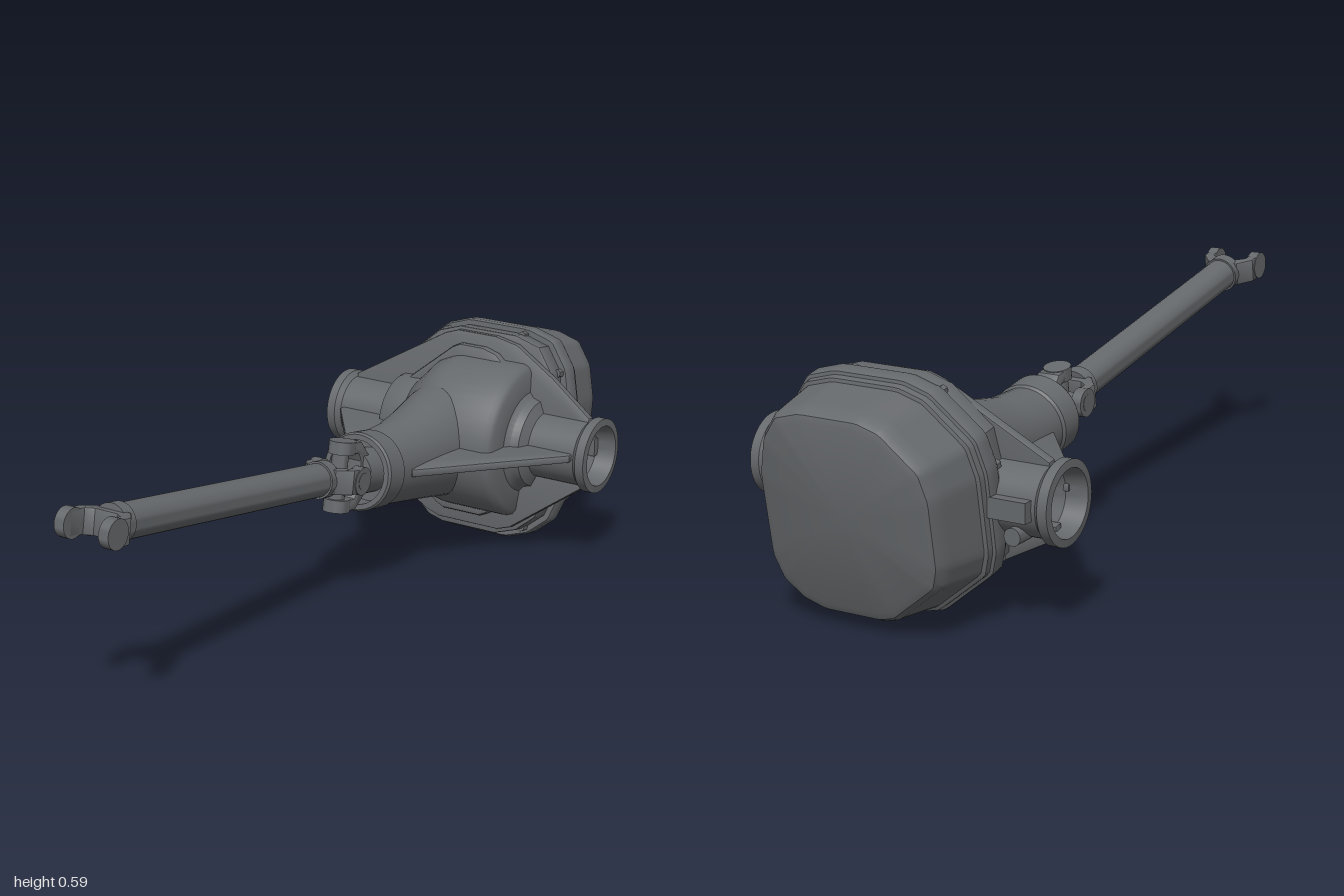
import * as THREE from 'three';
import { toCreasedNormals } from 'three/addons/utils/BufferGeometryUtils.js';

const metal = new THREE.MeshStandardMaterial({ color: 0x66696c });
metal.name = 'cast iron grey';

function add(parent, name, geometry, x = 0, y = 0, z = 0) {
  const mesh = new THREE.Mesh(toCreasedNormals(geometry, 0.6), metal);
  mesh.name = name;
  mesh.position.set(x, y, z);
  parent.add(mesh);
  return mesh;
}

// Cylinder along a chosen axis
function rod(r, length, axis, sides = 24) {
  const g = new THREE.CylinderGeometry(r, r, length, sides);
  if (axis === 'x') g.rotateZ(Math.PI / 2);
  if (axis === 'z') g.rotateX(Math.PI / 2);
  return g;
}

// Bevelled plate from an outline, filling z0..z1
function plate(points, z0, z1, bevel = 0.005) {
  const shape = new THREE.Shape(points.map(([x, y]) => new THREE.Vector2(x, y)));
  const g = new THREE.ExtrudeGeometry(shape, {
    depth: z1 - z0 - 2 * bevel, bevelEnabled: true, bevelSize: bevel,
    bevelThickness: bevel, bevelOffset: -bevel, bevelSegments: 2,
  });
  return g.translate(0, 0, z0 + bevel);
}

// Skin over rings of equal point count, capped at both ends
function loft(rings) {
  const n = rings[0].length, pos = [], index = [];
  for (const ring of rings) for (const p of ring) pos.push(...p);
  for (let k = 0; k < rings.length - 1; k++) {
    for (let i = 0; i < n; i++) {
      const a = k * n + i, b = k * n + (i + 1) % n;
      index.push(a, b, b + n, a, b + n, a + n);
    }
  }
  for (const k of [0, rings.length - 1]) {
    const centre = pos.length / 3;
    pos.push(...[0, 1, 2].map((c) => rings[k].reduce((s, p) => s + p[c], 0) / n));
    for (let i = 0; i < n; i++) {
      const a = k * n + i, b = k * n + (i + 1) % n;
      if (k === 0) index.push(centre, b, a);
      else index.push(centre, a, b);
    }
  }
  const g = new THREE.BufferGeometry();
  g.setAttribute('position', new THREE.Float32BufferAttribute(pos, 3));
  g.setIndex(index);
  g.computeVertexNormals();
  return g;
}

// Counter-clockwise outline of the rear cover
const coverOutline = [
  [-0.07, 0.303], [-0.14, 0.28], [-0.25, 0.18], [-0.272, 0.1], [-0.272, -0.1],
  [-0.255, -0.16], [-0.11, -0.28], [-0.06, -0.293], [0.12, -0.293], [0.19, -0.27],
  [0.25, -0.22], [0.277, -0.15], [0.277, 0.1], [0.25, 0.21], [0.2, 0.28], [0.12, 0.303],
];

// Scaled cover outline with softened corners
function coverRing(scale, z, dy = 0) {
  const n = coverOutline.length, ring = [];
  coverOutline.forEach((p, i) => {
    const a = coverOutline[(i + n - 1) % n], b = coverOutline[(i + 1) % n];
    for (const [q, t] of [[a, 0.22], [a, 0.07], [b, 0.07], [b, 0.22]]) {
      ring.push([(p[0] + (q[0] - p[0]) * t) * scale, (p[1] + (q[1] - p[1]) * t) * scale + dy, z]);
    }
  });
  return ring;
}

function ellipse(z, rx, ry, cx, cy, n = 40) {
  return Array.from({ length: n }, (_, i) => {
    const a = (i / n) * Math.PI * 2;
    return [cx + rx * Math.cos(a), cy + ry * Math.sin(a), z];
  });
}

// Forked yoke: ears centred on the origin, base behind at -z
function yoke(name) {
  const g = new THREE.Group();
  g.name = name;
  const half = [[0.045, -0.085], [0.076, -0.045], [0.076, 0.01], [0.05, 0.01], [0.05, -0.035], [0.032, -0.05]];
  const outline = [...half, ...half.map(([x, z]) => [-x, z]).reverse()];
  const fork = plate(outline, -0.033, 0.033).rotateX(Math.PI / 2);
  add(g, name + 'Fork', fork);
  for (const s of [-1, 1]) add(g, name + 'Ear', rod(0.037, 0.028, 'x'), s * 0.064, 0, 0);
  return g;
}

export function createModel() {
  const model = new THREE.Group();
  model.name = 'axleDifferential';

  // Hollow axle tubes and the round ring gear housing, turned about x
  const turned = [
    [0.083, -0.415], [0.103, -0.413], [0.103, -0.388], [0.09, -0.375], [0.09, -0.24], [0.12, -0.226],
    [0.126, -0.215], [0.13, -0.15], [0.15, -0.13], [0.19, -0.09], [0.208, -0.05], [0.214, -0.02],
    [0.214, 0.16], [0.208, 0.175], [0.195, 0.184], [0.14, 0.188], [0.126, 0.2], [0.12, 0.222], [0.09, 0.236],
    [0.09, 0.375], [0.103, 0.388], [0.103, 0.413], [0.083, 0.415], [0.075, 0.36], [0.052, 0.34],
    [0.052, -0.34], [0.075, -0.36], [0.083, -0.415],
  ].map(([r, x]) => new THREE.Vector2(r, x));
  add(model, 'axleHousing', new THREE.LatheGeometry(turned, 48).rotateZ(-Math.PI / 2), 0, 0.312, -0.67);

  // Horizontal ribs from the pinion nose to the tubes, and rear bosses
  for (const s of [-1, 1]) {
    const nose = s < 0 ? -0.12 : 0.08;
    const rib = plate([[0, 0.24], [nose, 0.24], [s * 0.37, 0.57], [s * 0.37, 0.6], [0, 0.6]], 0, 0.022);
    add(model, 'sideRib', rib.rotateX(-Math.PI / 2), 0, 0.312, 0);
    add(model, 'rearBoss', new THREE.BoxGeometry(0.1, 0.05, 0.06), s * 0.315, 0.31, -0.755);
    add(model, 'bossBolt', rod(0.022, 0.06, 'z', 16), s * 0.315, 0.24, -0.73);
  }

  // Everything along the tilted shaft line
  const tilted = new THREE.Group();
  tilted.name = 'tiltedAssembly';
  tilted.position.set(0, 0.31, -0.67);
  tilted.rotation.x = -0.175;
  model.add(tilted);

  // Rear cover and its stepped flange
  add(tilted, 'rearCover', loft([
    coverRing(0.77, -0.291, 0.022), coverRing(0.83, -0.284, 0.02), coverRing(0.865, -0.266, 0.018),
    coverRing(0.88, -0.235, 0.015), coverRing(0.94, -0.12),
  ]));
  add(tilted, 'coverFlange', loft([
    coverRing(0.93, -0.13), coverRing(0.965, -0.125), coverRing(0.97, -0.108), coverRing(0.995, -0.105),
    coverRing(1, -0.1), coverRing(1, -0.065), coverRing(0.985, -0.056),
  ]));
  coverOutline.forEach(([x, y], i) => {
    if (i % 2) add(tilted, 'flangeBolt', rod(0.012, 0.03, 'z', 6), x * 0.93, y * 0.93, -0.05);
  });

  // Front web and carcass, split in two so the axle bore stays clear
  const webs = [
    [[-0.375, 0.062], [-0.375, 0.1], [-0.1, 0.262], [-0.06, 0.276], [0.06, 0.276], [0.13, 0.262],
      [0.25, 0.19], [0.375, 0.1], [0.375, 0.062]],
    [[-0.375, -0.062], [-0.375, -0.095], [-0.1, -0.245], [-0.06, -0.258], [0.13, -0.258],
      [0.17, -0.245], [0.375, -0.095], [0.375, -0.062]],
  ];
  for (const [i, web] of webs.entries()) {
    const s = i ? -1 : 1;
    add(tilted, 'frontWeb', plate(web, -0.006, 0.02));
    const arc = coverOutline.filter((p) => p[1] * s > 0.11).map(([x, y]) => [x * 0.94, y * 0.94]);
    // start the upper run at its left end so the outline closes along the bore
    arc.sort((a, b) => a[0] - b[0]);
    add(tilted, 'carcass', plate([[-0.25, s * 0.062], ...arc, [0.25, s * 0.062]], -0.06, 0));
    const pad = web.slice(1, -1).map(([x, y]) => [x * 0.62, y * 0.88]);
    add(tilted, 'carcassStep', plate([[-0.2, s * 0.062], ...pad, [0.2, s * 0.062]], 0.01, 0.045, 0.012));
  }

  // Pinion nose with a recessed mouth
  const cx = -0.022, cy = -0.063;
  add(tilted, 'pinionNose', loft([
    ellipse(0.1, 0.14, 0.165, cx, -0.012), ellipse(0.18, 0.122, 0.152, cx, -0.022),
    ellipse(0.27, 0.108, 0.13, cx, -0.04), ellipse(0.36, 0.1, 0.112, cx, -0.055),
    ellipse(0.465, 0.099, 0.1, cx, cy), ellipse(0.472, 0.105, 0.105, cx, cy),
    ellipse(0.538, 0.105, 0.105, cx, cy), ellipse(0.545, 0.1, 0.1, cx, cy),
    ellipse(0.545, 0.086, 0.086, cx, cy), ellipse(0.48, 0.084, 0.084, cx, cy),
  ]));

  // Drive shaft, universal joint and end yoke
  const shaft = new THREE.Group();
  shaft.name = 'driveShaft';
  shaft.position.set(cx, cy, 0);
  tilted.add(shaft);
  add(shaft, 'pinionStub', rod(0.06, 0.09, 'z', 32), 0, 0, 0.52);
  add(shaft, 'shaftTube', rod(0.044, 0.87, 'z', 32), 0, 0, 1.135);
  for (const z of [0.715, 1.56]) add(shaft, 'shaftCollar', rod(0.049, 0.035, 'z', 32), 0, 0, z);
  add(shaft, 'jointCrossSide', rod(0.022, 0.158, 'x'), 0, 0, 0.63);
  add(shaft, 'jointCrossUpright', rod(0.022, 0.18, 'y'), 0, 0, 0.63);
  const pinionYoke = yoke('pinionYoke');
  pinionYoke.rotation.z = Math.PI / 2;
  pinionYoke.scale.set(1.2, 0.95, 1);
  pinionYoke.position.z = 0.625;
  const jointYoke = yoke('jointYoke');
  jointYoke.rotation.y = Math.PI;
  jointYoke.position.z = 0.63;
  const endYoke = yoke('endYoke');
  endYoke.position.z = 1.645;
  shaft.add(pinionYoke, jointYoke, endYoke);

  return model;
}
